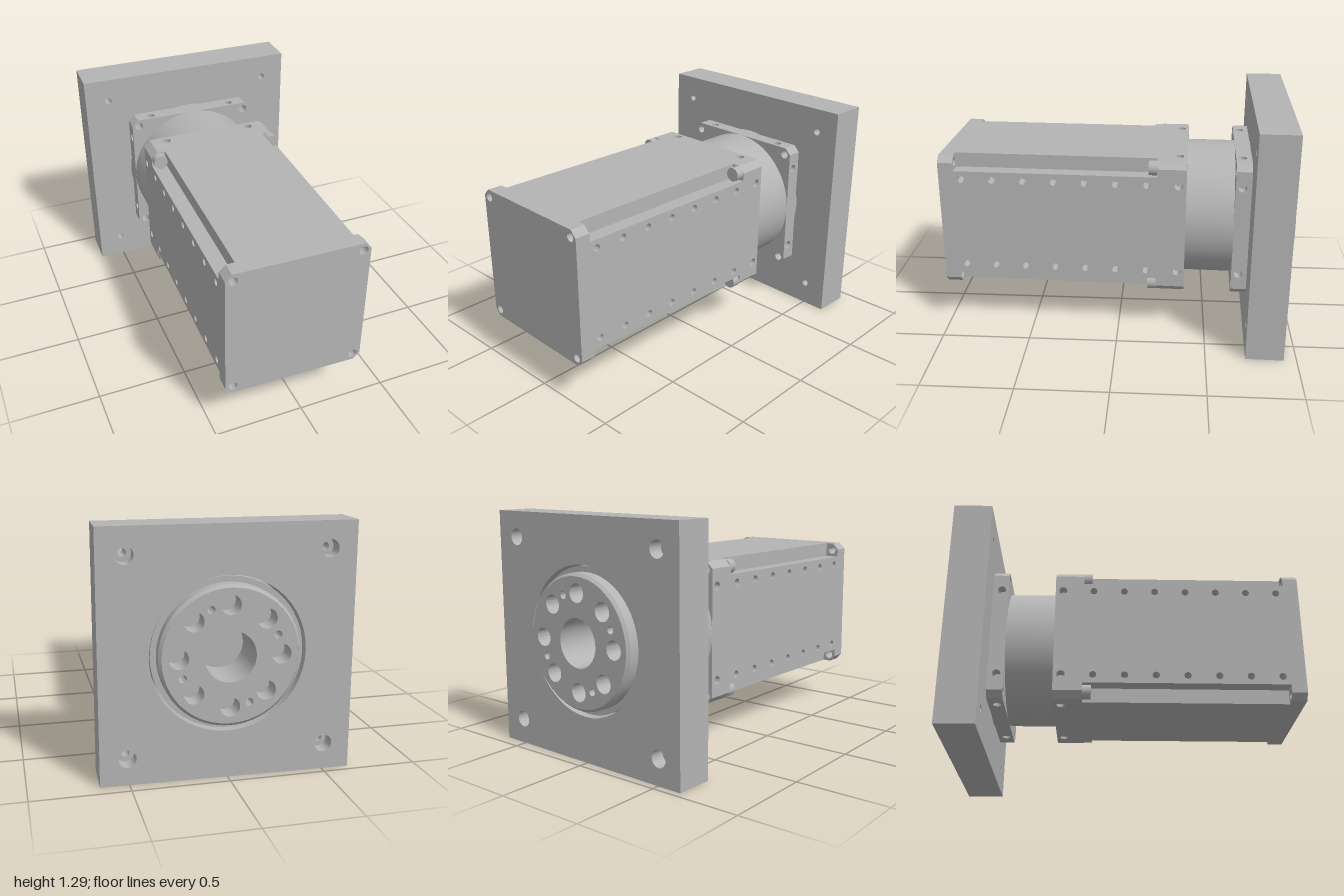
import * as THREE from 'three';
import { toCreasedNormals } from 'three/addons/utils/BufferGeometryUtils.js';

const H = 0.387;      // half width of the square body
const NOTCH = 0.305;  // where the corner notches begin
const SCREW = 0.345;  // corner screw offset
const SIDE = 0.258;   // side hole offset

const steel = new THREE.MeshStandardMaterial({ color: 0xb4b4b4 });
steel.name = 'steel grey';

const polygon = (pts) => new THREE.Shape(pts.map(([x, y]) => new THREE.Vector2(x, y)));
const square = (h) => polygon([[-h, -h], [h, -h], [h, h], [-h, h]]);
const corners = (d) => [[d, d], [-d, d], [-d, -d], [d, -d]];

function drill(shape, points, r) {
  for (const [x, y] of points) {
    const hole = new THREE.Path();
    hole.absarc(x, y, r, 0, Math.PI * 2, true);
    shape.holes.push(hole);
  }
  return shape;
}

// Extrudes a shape in the xy plane from z0 to z1
function extrude(shape, z0, z1) {
  const geo = new THREE.ExtrudeGeometry(shape, { depth: z1 - z0, bevelEnabled: false, curveSegments: 24 });
  geo.translate(0, 0, z0);
  return toCreasedNormals(geo, 0.6);
}

// Wall on the +x side from x0 to x1, with blind holes given as [z, y]
function sideWall(z0, z1, halfY, x0, x1, holes, r) {
  const shape = polygon([[-z1, -halfY], [-z0, -halfY], [-z0, halfY], [-z1, halfY]]);
  drill(shape, holes.map(([z, y]) => [-z, y]), r);
  return extrude(shape, x0, x1).rotateY(Math.PI / 2);
}

// Square with chamfered corners
function chamferedSquare() {
  const c = H - 0.036;
  return polygon([[H, -c], [H, c], [c, H], [-c, H], [-H, c], [-H, -c], [-c, -H], [c, -H]]);
}

// Chamfered square with a shallow recess in every side, for the drilled walls
function recessedSquare(depth, half) {
  const c = H - 0.036, d = H - depth, pts = [];
  const side = [[H, -c], [H, -half], [d, -half], [d, half], [H, half], [H, c]];
  for (let k = 0; k < 4; k++) {
    const a = k * Math.PI / 2, cs = Math.round(Math.cos(a)), sn = Math.round(Math.sin(a));
    for (const [x, y] of side) pts.push([x * cs - y * sn, x * sn + y * cs]);
  }
  return polygon(pts);
}

export function createModel() {
  const model = new THREE.Group();
  model.name = 'gearMotor';
  const unit = new THREE.Group();
  unit.name = 'motorAssembly';
  // The whole unit is turned slightly about the vertical
  unit.position.set(-0.023, 0.645, 0);
  unit.rotation.y = -0.027;
  model.add(unit);

  const add = (name, geo) => {
    const mesh = new THREE.Mesh(geo, steel);
    mesh.name = name;
    unit.add(mesh);
    return mesh;
  };

  // End cap with corner screw holes
  add('endCap', extrude(drill(chamferedSquare(), corners(SCREW), 0.024), 0.905, 0.989));

  // Motor body: tall core and two drilled side walls, leaving notched corners
  const bodyFront = 0.905, bodyBack = -0.225;
  const core = new THREE.BoxGeometry(NOTCH * 2, H * 2, bodyFront - bodyBack);
  core.translate(0, 0, (bodyFront + bodyBack) / 2);
  add('bodyCore', core);
  const rows = [];
  for (let i = 0; i < 7; i++) {
    const z = 0.862 - i * 0.172;
    rows.push([z, SIDE], [z, -SIDE]);
  }
  for (let k = 0; k < 2; k++) {
    add('bodySideWall', sideWall(bodyBack, bodyFront, NOTCH, NOTCH, H, rows, 0.02)).rotation.z = k * Math.PI;
  }

  // Two square flanges with drilled sides
  for (const [name, z0, z1, zHole] of [
    ['frontFlange', -0.385, -0.225, -0.343],
    ['rearFlange', -0.737, -0.65, -0.688],
  ]) {
    add(name, extrude(drill(recessedSquare(0.06, 0.3), corners(SCREW), 0.024), z0, z1));
    for (let k = 0; k < 4; k++) {
      const wall = sideWall(z0, z1, 0.3, H - 0.06, H, [[zHole, SIDE], [zHole, -SIDE]], 0.023);
      add(name + 'Wall', wall).rotation.z = k * Math.PI / 2;
    }
  }

  // Screw heads seated in the corner notches
  for (const [x, y] of corners(SCREW)) {
    const head = new THREE.CylinderGeometry(0.04, 0.04, 0.05, 24);
    head.rotateX(Math.PI / 2);
    add('screwHead', head).position.set(x, y, -0.203);
  }

  // Round gear housing between the flanges
  const housing = new THREE.CylinderGeometry(H, H, 0.265, 72);
  housing.rotateX(Math.PI / 2);
  add('gearHousing', housing).position.z = -0.5175;

  // Mounting plate: through holes in front, counterbores behind
  for (const [name, r, z0, z1] of [
    ['mountingPlateFront', 0.02, -0.867, -0.737],
    ['mountingPlateBack', 0.045, -0.947, -0.867],
  ]) {
    const plate = drill(square(0.645), corners(0.507), r);
    const bore = new THREE.Path();
    bore.absarc(0, 0, 0.396, 0, Math.PI * 2, true);
    plate.holes.push(bore);
    add(name, extrude(plate, z0, z1));
  }

  // Stepped output hub with a chamfered rim and a blind centre bore
  const profile = [
    [0.387, 0.737], [0.387, 0.92], [0.357, 0.92], [0.357, 0.975], [0.342, 0.99],
    [0.342, 0.88], [0.13, 0.88], [0.13, 0.72], [0, 0.72],
  ].map(([r, h]) => new THREE.Vector2(r, h));
  const hub = toCreasedNormals(new THREE.LatheGeometry(profile, 72), 0.5);
  hub.rotateX(-Math.PI / 2);
  add('outputHub', hub);

  // Output face with a ring of bolt holes and four pin holes
  const face = new THREE.Shape();
  face.absarc(0, 0, 0.342, 0, Math.PI * 2, false);
  const ring = (n, start) => Array.from({ length: n }, (_, i) => {
    const a = start + i * Math.PI * 2 / n;
    return [0.257 * Math.cos(a), 0.257 * Math.sin(a)];
  });
  drill(face, [[0, 0]], 0.13);
  drill(face, ring(8, 0), 0.05);
  drill(face, ring(4, Math.PI * 3 / 8), 0.02);
  add('outputFace', extrude(face, -0.99, -0.88));

  return model;
}
